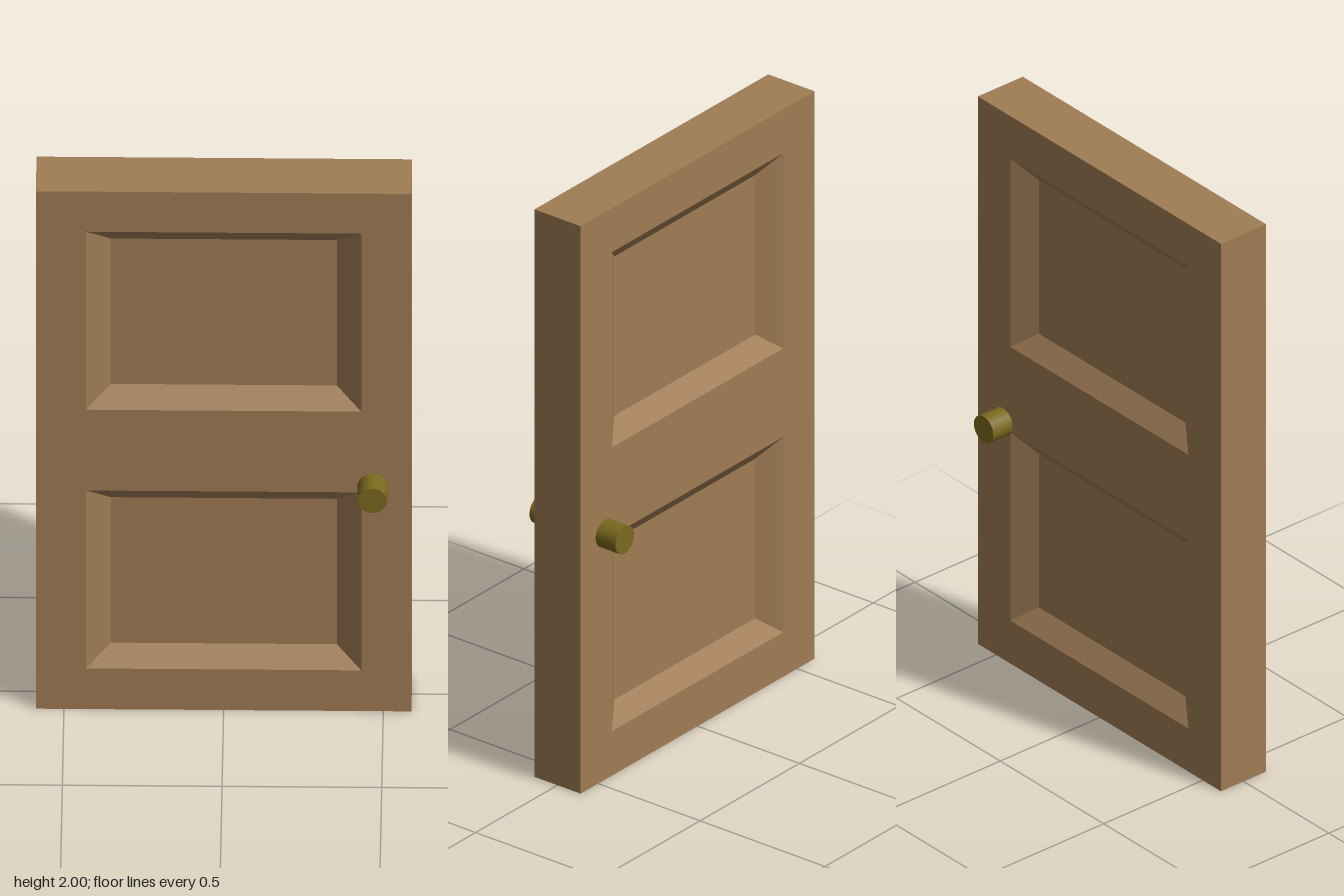
import * as THREE from 'three';
import { mergeGeometries } from 'three/addons/utils/BufferGeometryUtils.js';

const W = 0.588, H = 2, Z = 0.0925;          // half width, height, half thickness
const PANEL_W = 0.431, INSET_X = 0.077, INSET_Y = 0.063, DEPTH = 0.052;
const PANELS = [[0.157, 0.845], [1.157, 1.845]]; // bottom and top of each panel

// Rectangle corners, counter-clockwise seen from +z
const rect = (w, y0, y1, z) => [[-w, y0, z], [w, y0, z], [w, y1, z], [-w, y1, z]];

// Flat band of four quads joining two rectangles, facing the side of the first
function band(a, b) {
  const pos = [];
  for (let i = 0; i < 4; i++) {
    const j = (i + 1) % 4;
    for (const p of [a[i], a[j], b[j], a[i], b[j], b[i]]) pos.push(...p);
  }
  const g = new THREE.BufferGeometry();
  g.setAttribute('position', new THREE.Float32BufferAttribute(pos, 3));
  g.computeVertexNormals();
  return g;
}

// Flat face at depth z with optional rectangular holes
function face(corners, holes = []) {
  const to2 = (r) => r.map(([x, y]) => new THREE.Vector2(x, y));
  const shape = new THREE.Shape(to2(corners));
  shape.holes = holes.map((h) => new THREE.Path(to2(h).reverse()));
  const g = new THREE.ShapeGeometry(shape).toNonIndexed();
  g.deleteAttribute('uv');
  return g.translate(0, 0, corners[0][2]);
}

// One side of the door: frame face with two sloped recessed panels
function doorSide() {
  const openings = PANELS.map(([y0, y1]) => rect(PANEL_W, y0, y1, Z));
  const parts = [face(rect(W, 0, H, Z), openings)];
  PANELS.forEach(([y0, y1], i) => {
    const floor = rect(PANEL_W - INSET_X, y0 + INSET_Y, y1 - INSET_Y, Z - DEPTH);
    parts.push(band(openings[i], floor), face(floor));
  });
  return mergeGeometries(parts);
}

export function createModel() {
  const door = new THREE.Group();
  door.name = 'door';
  const wood = new THREE.MeshStandardMaterial({ color: 0xa07c55 });
  const brass = new THREE.MeshStandardMaterial({ color: 0x7a691e });

  // Slab: two panelled sides and the outer edges
  const side = doorSide();
  const edges = band(rect(W, 0, H, -Z), rect(W, 0, H, Z));
  const slab = new THREE.Mesh(
    mergeGeometries([side, side.clone().rotateY(Math.PI), edges]), wood);
  slab.name = 'panelledSlab';
  door.add(slab);

  // A cylindrical knob on each side
  for (const s of [1, -1]) {
    const length = 0.1;
    const knob = new THREE.Mesh(
      new THREE.CylinderGeometry(0.047, 0.047, length, 24).rotateX(Math.PI / 2), brass);
    knob.name = s > 0 ? 'frontKnob' : 'backKnob';
    knob.position.set(0.466, 0.87, s * (0.172 - length / 2));
    door.add(knob);
  }
  return door;
}
